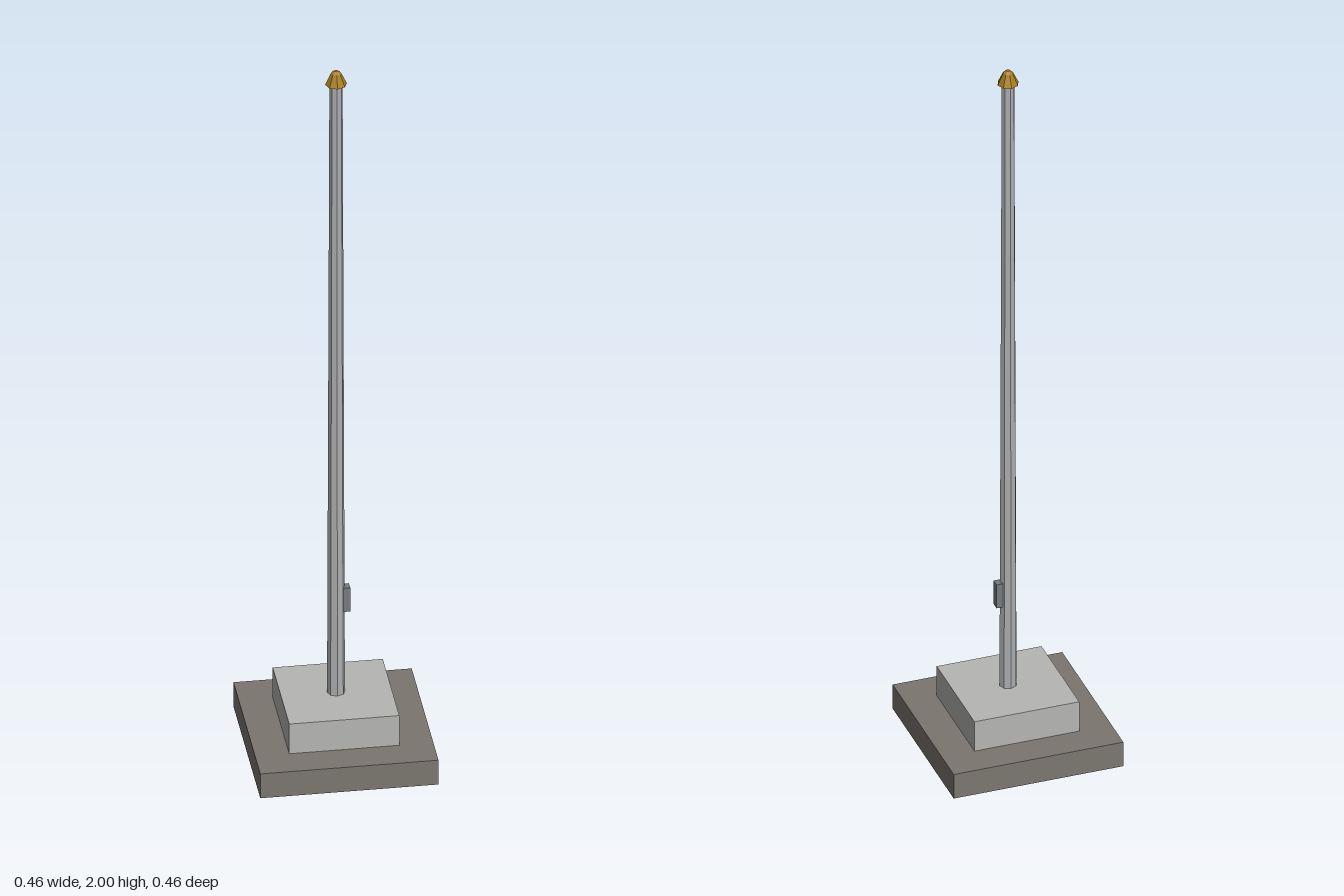
import * as THREE from 'three';

const mat = (name, color) => {
  const m = new THREE.MeshStandardMaterial({ color, flatShading: true });
  m.name = name;
  return m;
};

export function createModel() {
  const group = new THREE.Group();
  const darkStone = mat('dark stone', 0x7b766f);
  const paleStone = mat('pale stone', 0xb5b5b3);
  const metal = mat('pole metal', 0xacaeb0);
  const darkMetal = mat('cleat metal', 0x777a7c);
  const gold = mat('gold', 0xa87d1c);

  const add = (name, geometry, material, x, y) => {
    const mesh = new THREE.Mesh(geometry, material);
    mesh.name = name;
    mesh.position.set(x, y, 0);
    group.add(mesh);
  };

  // Stepped square base
  add('baseStep', new THREE.BoxGeometry(0.458, 0.072, 0.458), darkStone, 0, 0.036);
  add('plinth', new THREE.BoxGeometry(0.283, 0.088, 0.283), paleStone, 0, 0.116);

  // Tapered pole with a small cleat box on its left side
  add('pole', new THREE.CylinderGeometry(0.017, 0.023, 1.802, 8), metal, 0, 1.059);
  add('cleat', new THREE.BoxGeometry(0.019, 0.07, 0.023), darkMetal, 0.0255, 0.436);

  // Eight-sided pointed finial
  const profile = [[0, 1.96], [0.028, 1.961], [0.013, 1.993], [0.005, 2], [0, 2]]
    .map(([r, y]) => new THREE.Vector2(r, y));
  add('finial', new THREE.LatheGeometry(profile, 8), gold, 0, 0);

  return group;
}
